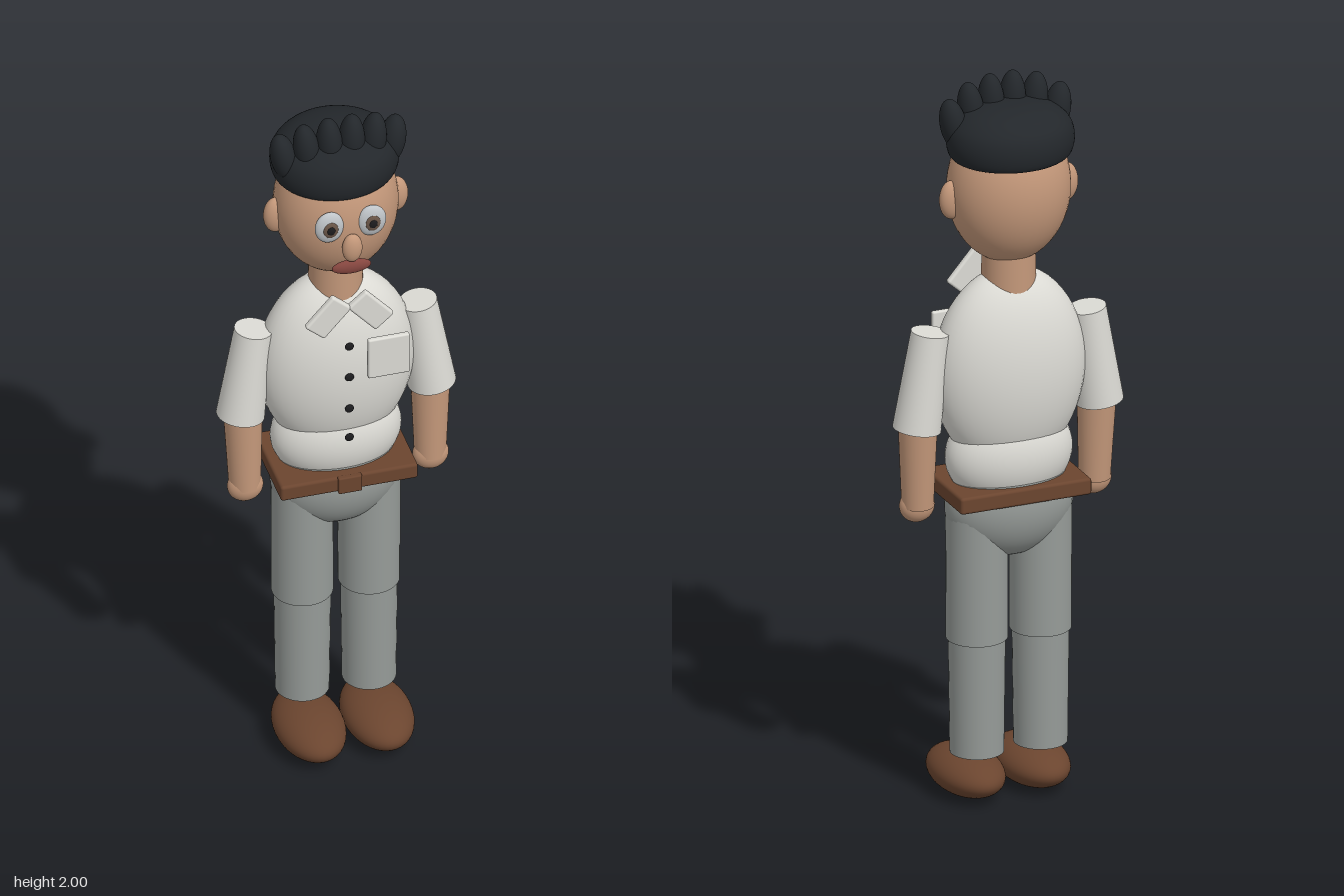
import * as THREE from 'three';
import { RoundedBoxGeometry } from 'three/addons/geometries/RoundedBoxGeometry.js';

const Z = -0.027; // depth of the body's axis

const paint = (color) => new THREE.MeshStandardMaterial({ color });

export function createModel() {
  const model = new THREE.Group();
  model.name = 'standingMan';

  const skin = paint(0xc4987a);
  const shirt = paint(0xdcdbd5);
  const trousers = paint(0x969b98);
  const leather = paint(0x6b452f);
  const hairMat = paint(0x23272b);
  const eyeWhite = paint(0xbfc4c8);
  const irisMat = paint(0x6a5648);
  const dark = paint(0x1c1c1e);
  const lips = paint(0x85463f);

  function add(name, geometry, material, pos = [0, 0, 0]) {
    const mesh = new THREE.Mesh(geometry, material);
    mesh.name = name;
    mesh.position.set(...pos);
    model.add(mesh);
    return mesh;
  }

  function ellipsoid(name, material, pos, radii) {
    const mesh = add(name, new THREE.SphereGeometry(1, 40, 28), material, pos);
    mesh.scale.set(...radii);
    return mesh;
  }

  // Tapered cylinder between two points
  function limb(name, material, top, bottom, rTop, rBottom) {
    const a = new THREE.Vector3(...top);
    const b = new THREE.Vector3(...bottom);
    const geometry = new THREE.CylinderGeometry(rTop, rBottom, a.distanceTo(b), 36);
    const mesh = add(name, geometry, material, a.clone().add(b).multiplyScalar(0.5).toArray());
    mesh.quaternion.setFromUnitVectors(new THREE.Vector3(0, 1, 0), a.sub(b).normalize());
    return mesh;
  }

  function box(name, material, pos, size, radius) {
    return add(name, new RoundedBoxGeometry(...size, 3, radius), material, pos);
  }

  // Trunk
  ellipsoid('chest', shirt, [0, 1.195, Z], [0.21, 0.28, 0.125]);
  ellipsoid('waist', shirt, [0, 0.96, Z], [0.175, 0.14, 0.11]);
  ellipsoid('hips', trousers, [0, 0.825, Z], [0.176, 0.15, 0.114]);
  limb('neck', skin, [0, 1.56, Z], [0, 1.41, Z], 0.07, 0.072);

  // Belt and buckle
  box('belt', leather, [0, 0.872, -0.02], [0.37, 0.046, 0.25], 0.008);
  box('buckle', leather, [0, 0.872, 0.106], [0.064, 0.05, 0.016], 0.004);

  // Shirt details
  for (const y of [1.315, 1.215, 1.113, 1.02]) {
    ellipsoid('button', dark, [0, y, 0.102], [0.012, 0.012, 0.006]);
  }
  box('pocket', shirt, [0.106, 1.264, 0.1], [0.112, 0.124, 0.016], 0.005);

  // Head and face
  ellipsoid('head', skin, [0, 1.7, Z], [0.165, 0.205, 0.148]);
  ellipsoid('nose', skin, [0, 1.656, 0.128], [0.027, 0.043, 0.019]);
  ellipsoid('mouth', lips, [0, 1.592, 0.122], [0.053, 0.021, 0.013]);

  // Hair cap with a rounded lower rim
  const rim = new THREE.SplineCurve([
    [0.1, 1.788], [0.145, 1.79], [0.164, 1.805], [0.17, 1.845],
    [0.157, 1.885], [0.118, 1.917], [0.06, 1.933], [0, 1.937],
  ].map(([x, y]) => new THREE.Vector2(x, y)));
  const profile = rim.getPoints(32);
  profile[profile.length - 1].x = 0;
  const cap = add('hairCap', new THREE.LatheGeometry(profile, 48), hairMat, [0, 0, -0.038]);
  cap.scale.z = 0.9;

  // Mirrored parts
  for (const s of [-1, 1]) {
    const side = s > 0 ? 'left' : 'right';

    ellipsoid(side + 'Ear', skin, [s * 0.162, 1.686, Z], [0.033, 0.053, 0.025]);
    ellipsoid(side + 'Eye', eyeWhite, [s * 0.057, 1.723, 0.112], [0.039, 0.047, 0.017]);
    ellipsoid(side + 'Iris', irisMat, [s * 0.057, 1.723, 0.126], [0.02, 0.024, 0.006]);
    ellipsoid(side + 'Pupil', dark, [s * 0.057, 1.723, 0.13], [0.011, 0.013, 0.005]);

    // Upright tufts along the front of the hair: x, y, z, half height
    [[0.03, 1.92, 0.018, 0.08], [0.09, 1.91, 0.012, 0.078], [0.147, 1.885, -0.005, 0.072]]
      .forEach(([x, y, z, h]) => {
        const tuft = ellipsoid(side + 'HairTuft', hairMat, [s * x, y, z], [0.034, h, 0.041]);
        tuft.rotation.z = -s * x * 1.2;
      });

    const collar = box(side + 'Collar', shirt, [s * 0.057, 1.423, 0.1], [0.115, 0.068, 0.02], 0.007);
    collar.rotation.z = -s * 0.85;

    // Arm
    limb(side + 'Sleeve', shirt, [s * 0.222, 1.326, Z], [s * 0.258, 1.06, -0.023], 0.05, 0.064);
    limb(side + 'Forearm', skin, [s * 0.253, 1.08, -0.018], [s * 0.25, 0.84, -0.01], 0.052, 0.042);
    ellipsoid(side + 'Hand', skin, [s * 0.25, 0.84, -0.006], [0.048, 0.046, 0.036]);

    // Leg
    limb(side + 'Thigh', trousers, [s * 0.09, 0.81, Z], [s * 0.09, 0.455, Z], 0.082, 0.081);
    limb(side + 'Shin', trousers, [s * 0.09, 0.47, Z], [s * 0.09, 0.137, Z], 0.075, 0.071);
    ellipsoid(side + 'Shoe', leather, [s * 0.092, 0.059, 0.04], [0.092, 0.059, 0.152]);
  }

  return model;
}
